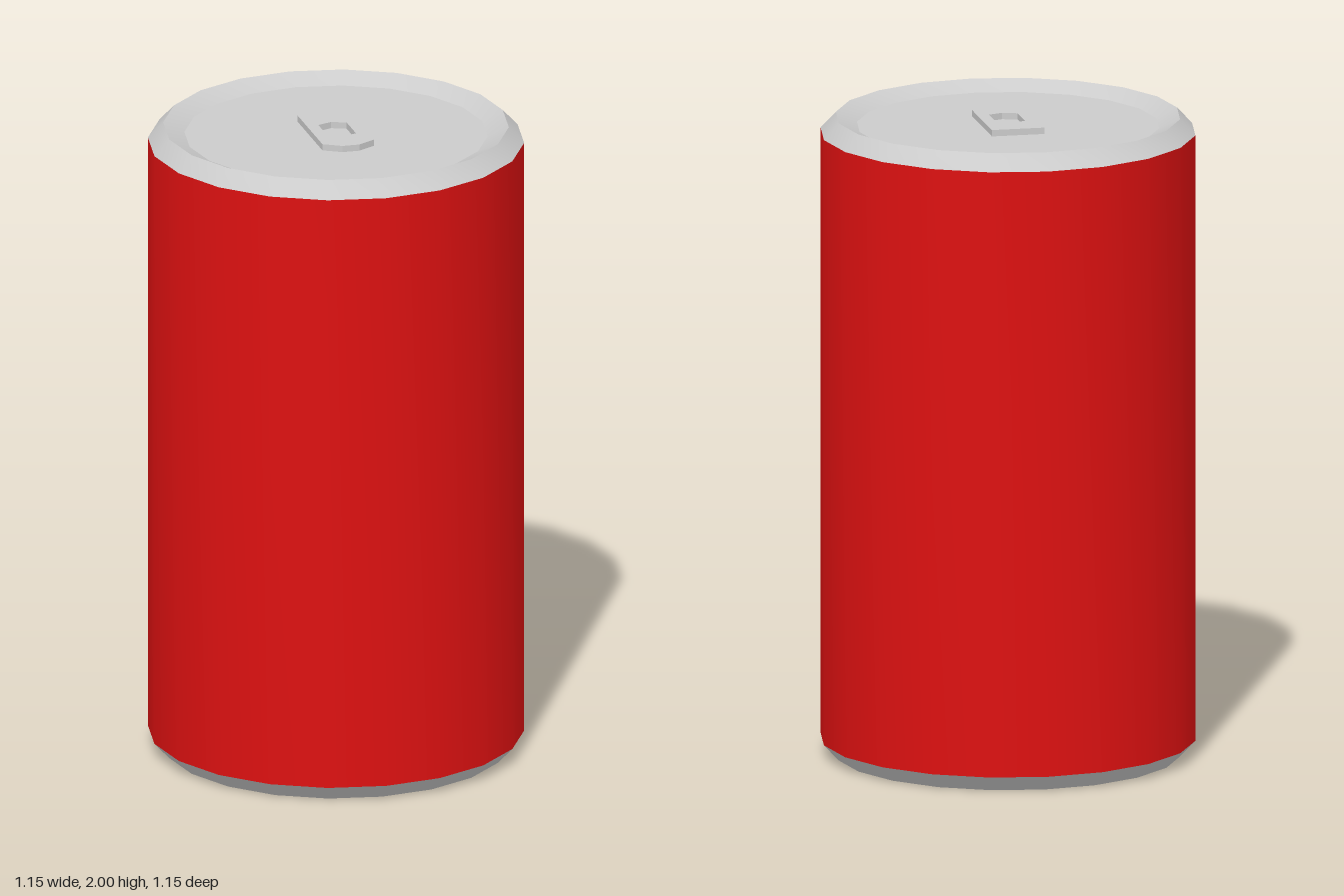
import * as THREE from 'three';
import { toCreasedNormals } from 'three/addons/utils/BufferGeometryUtils.js';

const SIDES = 20;
const R = 0.577, RIM = 0.53, FLOOR = 0.465; // wall, rim and recessed-floor radii
const H = 2, BEVEL = 0.05, RECESS = 0.03;

// Revolve [radius, height] points, listed so that the surface faces outward
function lathe(name, points, material) {
  const profile = points.map(([r, y]) => new THREE.Vector2(r, y));
  const geometry = toCreasedNormals(new THREE.LatheGeometry(profile, SIDES), 0.38);
  const mesh = new THREE.Mesh(geometry, material);
  mesh.name = name;
  return mesh;
}

const toVectors = (points) => points.map(([x, y]) => new THREE.Vector2(x, y));

export function createModel() {
  const metal = new THREE.MeshStandardMaterial({ color: 0xcccccc });
  const red = new THREE.MeshStandardMaterial({ color: 0xdd1111 });
  const can = new THREE.Group();
  can.name = 'can';

  // Painted wall
  can.add(lathe('body', [[R, BEVEL], [R, H - BEVEL]], red));

  // Bevelled ends with a shallow recessed floor
  can.add(lathe('bottomEnd', [[0, RECESS], [FLOOR, RECESS], [RIM, 0], [R, BEVEL]], metal));
  can.add(lathe('topEnd', [[R, H - BEVEL], [RIM, H], [FLOOR, H - RECESS], [0, H - RECESS]], metal));

  // Pull tab: plate with a chamfered front end and a six-sided finger hole
  const outline = new THREE.Shape(toVectors([
    [-0.082, -0.146], [0.082, -0.146], [0.082, 0.14], [0.027, 0.173], [-0.027, 0.173], [-0.082, 0.14],
  ]));
  outline.holes.push(new THREE.Path(toVectors([
    [0, -0.058], [-0.045, -0.04], [-0.045, 0.067], [0, 0.084], [0.045, 0.067], [0.045, -0.04],
  ])));
  const plate = new THREE.ExtrudeGeometry(outline, { depth: 0.02, bevelEnabled: false });
  plate.rotateX(Math.PI / 2);
  const tab = new THREE.Mesh(plate, metal);
  tab.name = 'pullTab';
  tab.position.y = H - 0.01;
  can.add(tab);

  return can;
}
